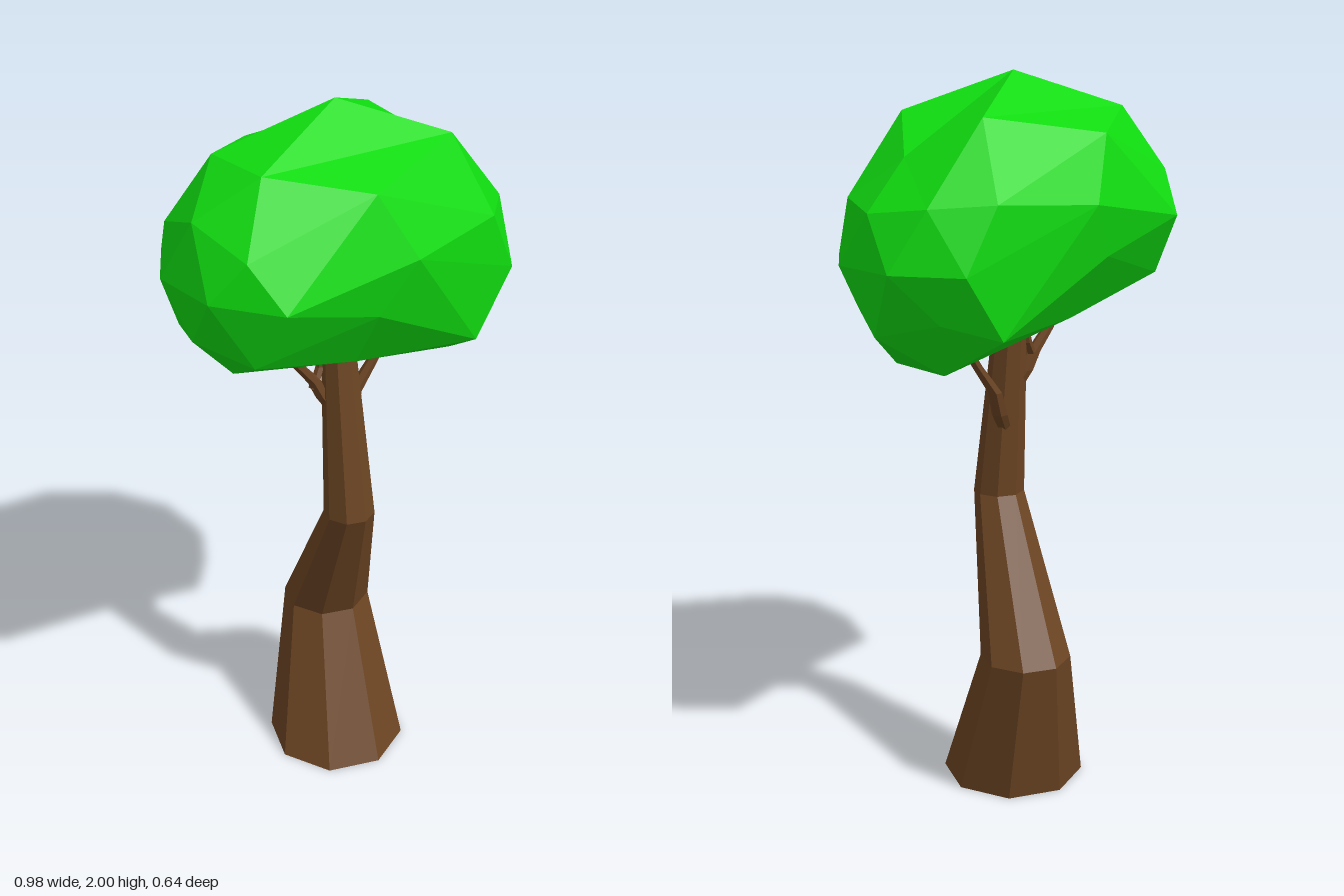
import * as THREE from 'three';

const bark = new THREE.MeshStandardMaterial({ color: 0x6b4423, flatShading: true });
const leaf = new THREE.MeshStandardMaterial({ color: 0x10dc10, flatShading: true });

// Closed limb lofted through horizontal rings, each [x, y, z, radius]
function limb(name, rings, sides) {
  const pos = [], idx = [];
  const last = rings.length - 1;
  for (const [x, y, z, r] of rings) {
    for (let j = 0; j < sides; j++) {
      const a = (j / sides) * Math.PI * 2;
      pos.push(x + r * Math.cos(a), y, z + r * Math.sin(a));
    }
  }
  for (let j = 0; j < sides; j++) {
    const k = (j + 1) % sides;
    for (let i = 0; i < last; i++) {
      const a = i * sides, b = a + sides;
      idx.push(a + j, b + j, a + k, a + k, b + j, b + k);
    }
    if (j > 0 && j < sides - 1) {
      const t = last * sides;
      idx.push(0, j, k, t, t + k, t + j); // end caps
    }
  }
  const geo = new THREE.BufferGeometry();
  geo.setAttribute('position', new THREE.Float32BufferAttribute(pos, 3));
  geo.setIndex(idx);
  const flat = geo.toNonIndexed();
  flat.computeVertexNormals();
  const mesh = new THREE.Mesh(flat, bark);
  mesh.name = name;
  return mesh;
}

// Canopy: [x, y] targets for each latitude ring of a pole-up icosphere,
// ordered by angle away from +x and shared by the front and back halves
const canopyRings = {
  100: [[-0.015, 2.0]],
  85: [[0.35, 1.8], [0.23, 1.9], [-0.32, 1.9]],
  53: [[0.41, 1.69], [-0.1, 1.85], [-0.455, 1.79]],
  45: [[0.47, 1.67], [0.28, 1.7], [-0.42, 1.73]],
  0: [[0.488, 1.53], [0.37, 1.53], [-0.015, 1.68], [-0.375, 1.615], [-0.488, 1.62]],
  '-45': [[0.38, 1.4], [-0.1, 1.535], [-0.47, 1.48]],
  '-53': [[0.455, 1.355], [0.25, 1.355], [-0.4, 1.445]],
  '-85': [[0.31, 1.25], [-0.08, 1.36], [-0.35, 1.35]],
  '-100': [[-0.015, 1.4]],
};

function canopy() {
  const geo = new THREE.IcosahedronGeometry(1, 1);
  geo.rotateX(-Math.atan((1 + Math.sqrt(5)) / 2)); // one vertex straight up
  geo.rotateY(Math.PI / 2);
  const p = geo.attributes.position;
  for (let i = 0; i < p.count; i++) {
    const level = Math.round(p.getY(i) * 100);
    const ring = canopyRings[level];
    const angle = Math.abs(Math.atan2(p.getZ(i), p.getX(i))) * 180 / Math.PI;
    const step = ring.length === 5 ? 36 : 72;
    const slot = ring.length === 1 ? 0 : Math.floor((angle + 1) / step);
    const [x, y] = ring[slot];
    p.setXYZ(i, x, y, p.getZ(i) * 0.322);
  }
  geo.computeVertexNormals();
  const mesh = new THREE.Mesh(geo, leaf);
  mesh.name = 'canopy';
  return mesh;
}

export function createModel() {
  const tree = new THREE.Group();
  tree.name = 'tree';
  tree.add(
    limb('trunk', [
      [-0.015, 0, 0, 0.2],
      [0.055, 0.415, -0.13, 0.125],
      [-0.025, 0.835, 0.071, 0.071],
      [-0.018, 1.45, 0.005, 0.04],
    ], 8),
    // Branches reaching into the canopy
    limb('leftBranch', [
      [0.0, 1.03, 0.02, 0.02],
      [0.035, 1.08, 0.0, 0.023],
      [0.065, 1.15, -0.015, 0.021],
      [0.12, 1.23, -0.005, 0.016],
      [0.19, 1.34, 0.0, 0.012],
    ], 6),
    limb('rightBranch', [
      [-0.03, 1.13, 0.02, 0.02],
      [-0.065, 1.19, 0.005, 0.022],
      [-0.09, 1.24, 0.0, 0.02],
      [-0.14, 1.3, -0.005, 0.016],
      [-0.2, 1.4, 0.0, 0.012],
    ], 6),
    limb('rightTwig', [
      [-0.09, 1.22, 0.0, 0.014],
      [-0.06, 1.27, -0.01, 0.012],
      [-0.05, 1.33, -0.01, 0.008],
    ], 5),
    canopy(),
  );
  return tree;
}
